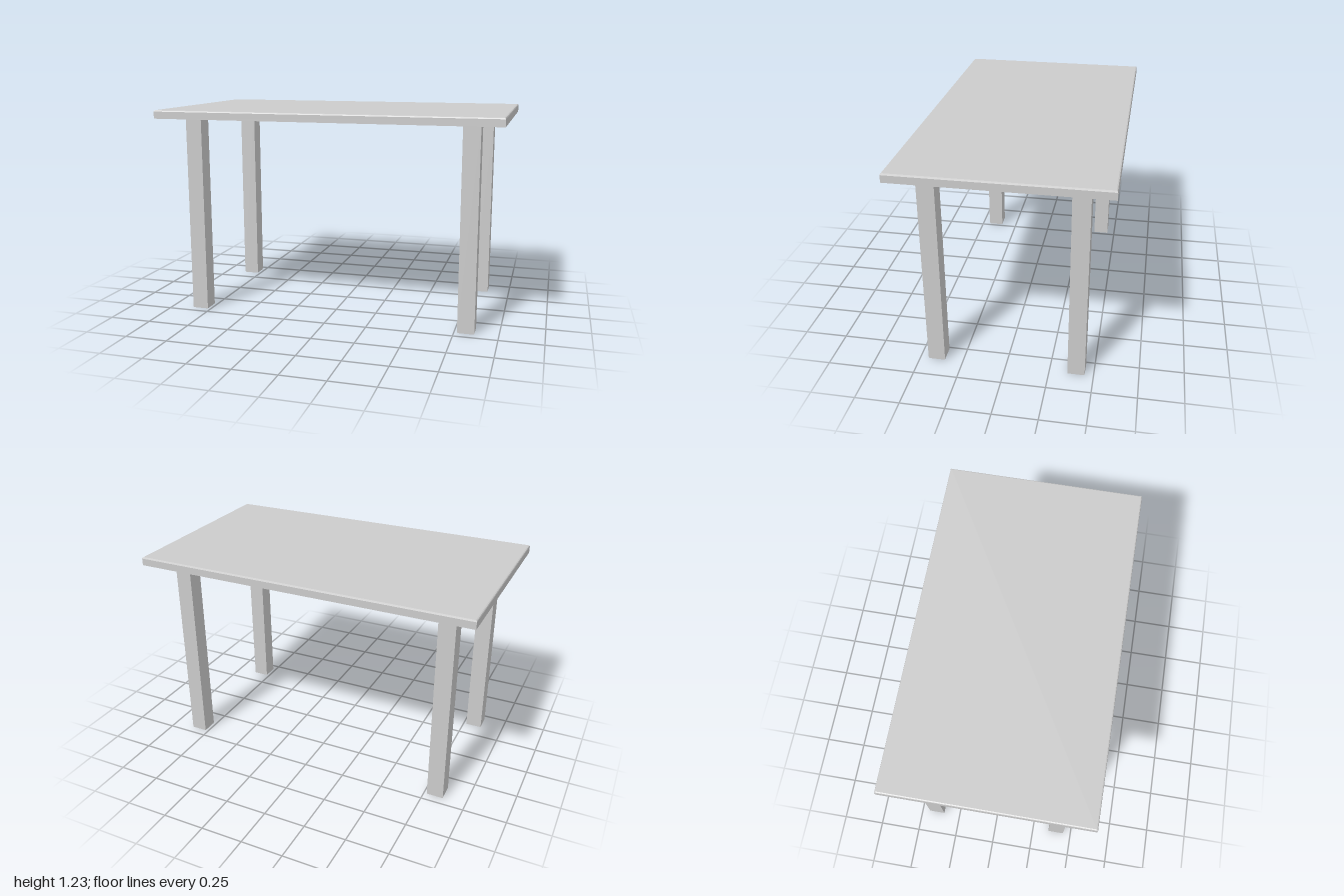
import * as THREE from 'three';

const LENGTH = 2, DEPTH = 1.164, TOP = 1.225, UNDERSIDE = 1.176;
const LEG = 0.097, LEG_X = 0.817, LEG_Z = 0.402, FOOT = 0.005;

// Slab with its upper edges eased over: each row of vertices gets a height and an inset.
function easedSlab() {
  const rows = [[UNDERSIDE, 0], [TOP - 0.008, 0], [TOP - 0.0025, 0.0025], [TOP, 0.008]];
  const geo = new THREE.BoxGeometry(LENGTH, 3, DEPTH, 1, 3, 1);
  const p = geo.attributes.position;
  for (let i = 0; i < p.count; i++) {
    const [y, inset] = rows[Math.round(p.getY(i) + 1.5)];
    const x = p.getX(i), z = p.getZ(i);
    p.setXYZ(i, x - Math.sign(x) * inset, y, z - Math.sign(z) * inset);
  }
  const flat = geo.toNonIndexed();
  flat.computeVertexNormals();
  return flat;
}

export function createModel() {
  const group = new THREE.Group();
  const material = new THREE.MeshStandardMaterial({ color: 0xcccccc });

  const add = (name, geometry, x = 0, y = 0, z = 0) => {
    const mesh = new THREE.Mesh(geometry, material);
    mesh.name = name;
    mesh.position.set(x, y, z);
    group.add(mesh);
  };

  add('tableTop', easedSlab());

  // Four square legs, each on a thin foot
  const legHeight = UNDERSIDE - FOOT;
  const legGeo = new THREE.BoxGeometry(LEG, legHeight, LEG);
  const footGeo = new THREE.BoxGeometry(LEG - 0.004, FOOT, LEG - 0.004);
  for (const [xName, sx] of [['Left', 1], ['Right', -1]]) {
    for (const [zName, sz] of [['front', 1], ['back', -1]]) {
      add(`${zName}${xName}Leg`, legGeo, sx * LEG_X, FOOT + legHeight / 2, sz * LEG_Z);
      add(`${zName}${xName}Foot`, footGeo, sx * LEG_X, FOOT / 2, sz * LEG_Z);
    }
  }
  return group;
}
